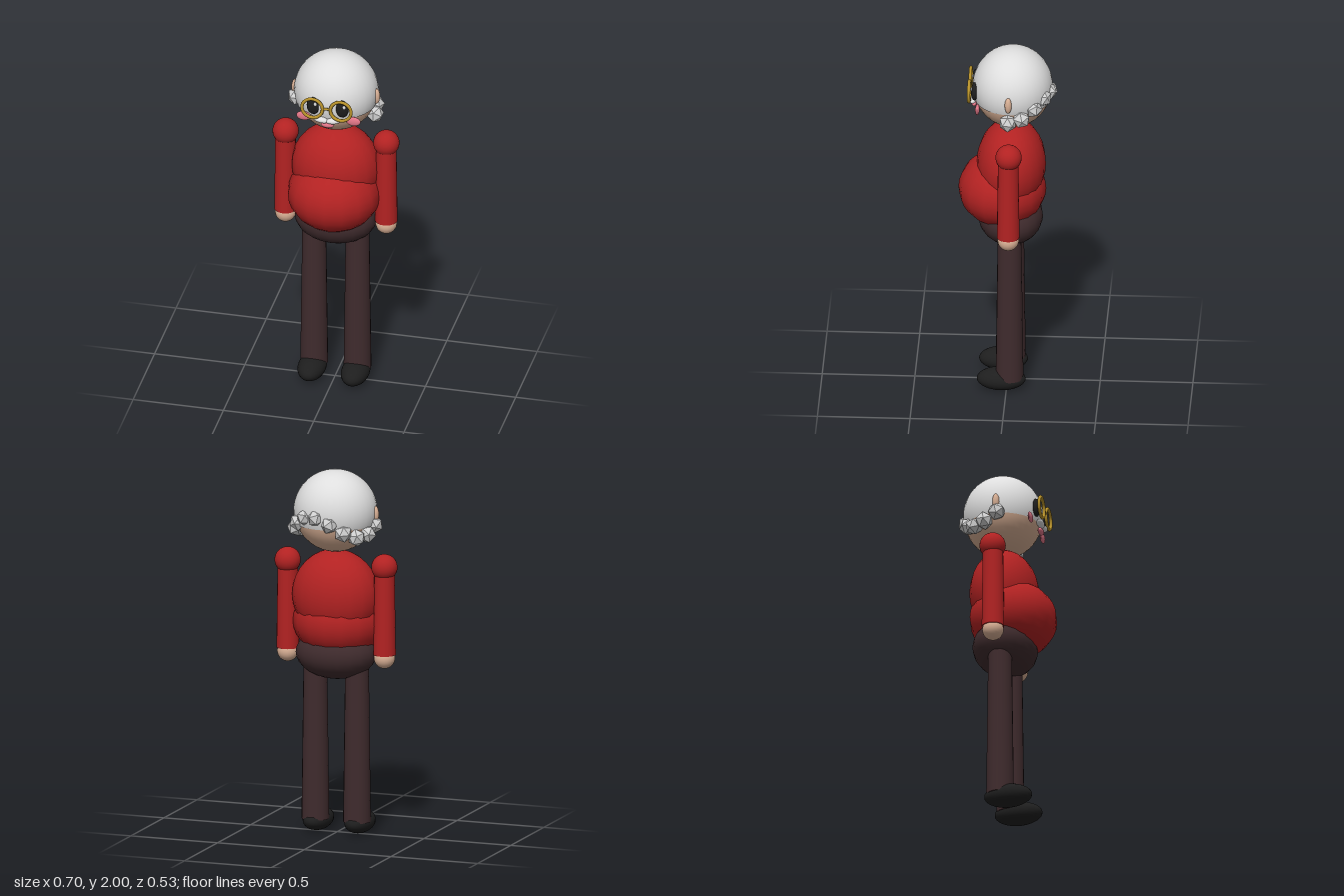
import * as THREE from 'three';

const mat = (name, color) => {
  const m = new THREE.MeshStandardMaterial({ color });
  m.name = name;
  return m;
};

export function createModel() {
  const white = mat('white hair', 0xdedede);
  const skin = mat('skin', 0xd9b095);
  const red = mat('red sweater', 0xb22222);
  const brown = mat('brown trousers', 0x3f2b2d);
  const black = mat('black', 0x1e1e1e);
  const gold = mat('gold', 0xb8922a);
  const pink = mat('pink', 0xe5788a);
  const hairMat = mat('grey curls', 0xd0d0d0);
  hairMat.flatShading = true;

  const model = new THREE.Group();
  const add = (name, geometry, material, x, y, z) => {
    const mesh = new THREE.Mesh(geometry, material);
    mesh.name = name;
    mesh.position.set(x, y, z);
    model.add(mesh);
    return mesh;
  };
  const ball = (name, material, [x, y, z], [rx, ry, rz], w = 32, h = 24) => {
    const mesh = add(name, new THREE.SphereGeometry(1, w, h), material, x, y, z);
    mesh.scale.set(rx, ry, rz);
    return mesh;
  };

  // Torso
  ball('chest', red, [0, 1.31, -0.02], [0.243, 0.25, 0.187], 20, 16);
  ball('belly', red, [0, 1.16, 0.028], [0.252, 0.205, 0.237], 16, 16);
  ball('hips', brown, [0, 0.99, -0.017], [0.224, 0.14, 0.174], 20, 16);

  // Head with a smooth white cap over the upper part
  ball('head', skin, [0, 1.775, -0.028], [0.224, 0.222, 0.212]);
  const cap = add('hairCap', new THREE.SphereGeometry(1, 32, 20, 0, Math.PI * 2, 0, Math.PI * 0.6), white, 0, 1.775, -0.028);
  cap.scale.set(0.228, 0.225, 0.216);

  // Wavy row of faceted curls round the back of the head
  const curl = new THREE.IcosahedronGeometry(0.05, 0);
  for (let i = 0; i < 10; i++) {
    const a = (i / 9) * Math.PI;
    const y = 1.715 - 0.055 * Math.cos(a * 2.48);
    const mesh = add('curl', curl, hairMat, 0.218 * Math.cos(a), y, -0.012 - 0.212 * Math.sin(a));
    mesh.rotation.set(i * 0.5, i * 0.7, 0);
  }

  // Paired parts
  for (const s of [1, -1]) {
    const side = s > 0 ? 'left' : 'right';
    ball(side + 'Shoulder', red, [s * 0.279, 1.482, -0.02], [0.071, 0.071, 0.071], 24, 16);
    add(side + 'Arm', new THREE.CylinderGeometry(0.055, 0.061, 0.48, 20), red, s * 0.279, 1.24, -0.018);
    ball(side + 'Hand', skin, [s * 0.279, 0.982, -0.018], [0.058, 0.058, 0.058], 20, 16);
    add(side + 'Leg', new THREE.CylinderGeometry(0.064, 0.075, 0.87, 20), brown, s * 0.12, 0.505, -0.017);
    ball(side + 'Shoe', black, [s * 0.12, 0.062, 0.028], [0.076, 0.062, 0.132], 24, 16);

    ball(side + 'Ear', skin, [s * 0.225, 1.768, -0.015], [0.02, 0.046, 0.019], 16, 12);
    ball(side + 'Eye', black, [s * 0.08, 1.776, 0.174], [0.036, 0.051, 0.02], 20, 16);
    ball(side + 'EyeGlint', white, [s * 0.08 + 0.014, 1.795, 0.19], [0.009, 0.011, 0.005], 12, 8);
    ball(side + 'Cheek', pink, [s * 0.138, 1.696, 0.156], [0.04, 0.027, 0.012], 20, 12);
    add(side + 'GlassesRim', new THREE.TorusGeometry(0.057, 0.009, 10, 32), gold, s * 0.079, 1.776, 0.203);
    const moustache = ball(side + 'Moustache', white, [s * 0.033, 1.701, 0.187], [0.043, 0.016, 0.02], 20, 12);
    moustache.rotation.z = s * 0.12;
  }

  // Glasses bridge and mouth
  const bridge = add('glassesBridge', new THREE.CylinderGeometry(0.007, 0.007, 0.045, 10), gold, 0, 1.78, 0.203);
  bridge.rotation.z = Math.PI / 2;
  ball('mouth', pink, [0, 1.67, 0.18], [0.036, 0.017, 0.015], 20, 12);

  return model;
}
